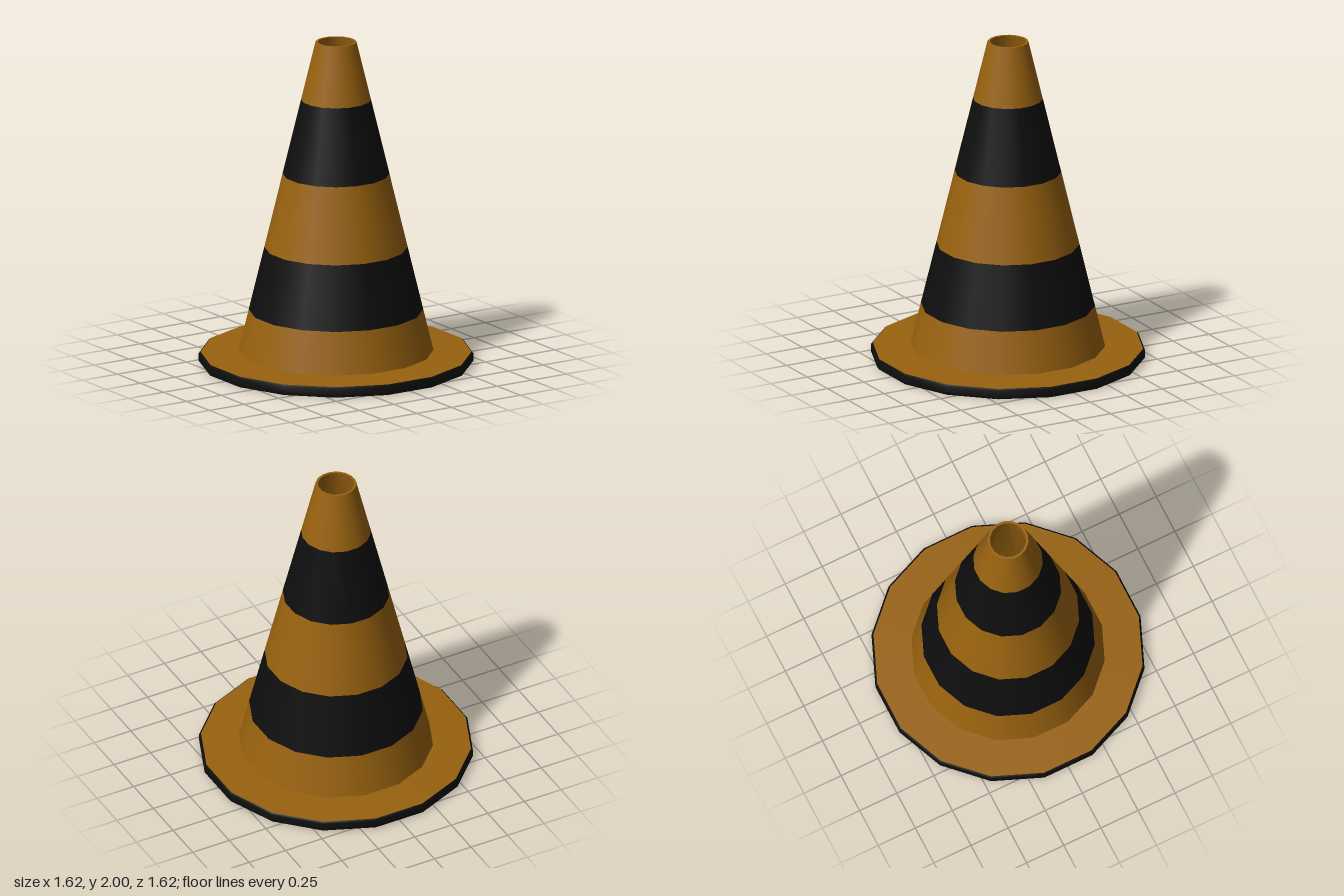
import * as THREE from 'three';

const SIDES = 16;

export function createModel() {
  const group = new THREE.Group();
  const orange = new THREE.MeshStandardMaterial({ color: 0x98620f });
  orange.name = 'orange';
  const black = new THREE.MeshStandardMaterial({ color: 0x0e0e0e });
  black.name = 'black';

  // Revolve a profile of [radius, y]; flats face the four axes
  function ring(name, material, profile) {
    const points = profile.map(([r, y]) => new THREE.Vector2(r, y));
    const mesh = new THREE.Mesh(new THREE.LatheGeometry(points, SIDES, Math.PI / SIDES), material);
    mesh.name = name;
    group.add(mesh);
  }

  // Straight taper of the outer cone
  const footY = 0.075, topY = 2, footR = 0.587, topR = 0.124, holeR = 0.109;
  const coneR = (y) => THREE.MathUtils.mapLinear(y, footY, topY, footR, topR);

  // Cone wall in alternating bands
  const levels = [footY, 0.33, 0.72, 1.178, 1.64, topY];
  for (let i = 0; i < levels.length - 1; i++) {
    const [a, b] = [levels[i], levels[i + 1]];
    const dark = i % 2 === 1;
    ring(dark ? 'blackStripe' : 'orangeBand', dark ? black : orange, [[coneR(a), a], [coneR(b), b]]);
  }

  // Open top and hollow inside
  ring('topRim', orange, [[topR, topY], [holeR, topY]]);
  ring('innerWall', orange, [[holeR, topY], [0.572, 0]]);

  // Base flange with a bevelled black edge
  ring('baseTop', orange, [[0.817, 0.065], [footR, footY]]);
  ring('baseUnderside', orange, [[0.572, 0], [0.819, 0]]);
  ring('baseEdge', black, [[0.819, 0], [0.828, 0.01], [0.828, 0.055], [0.817, 0.065]]);

  return group;
}
